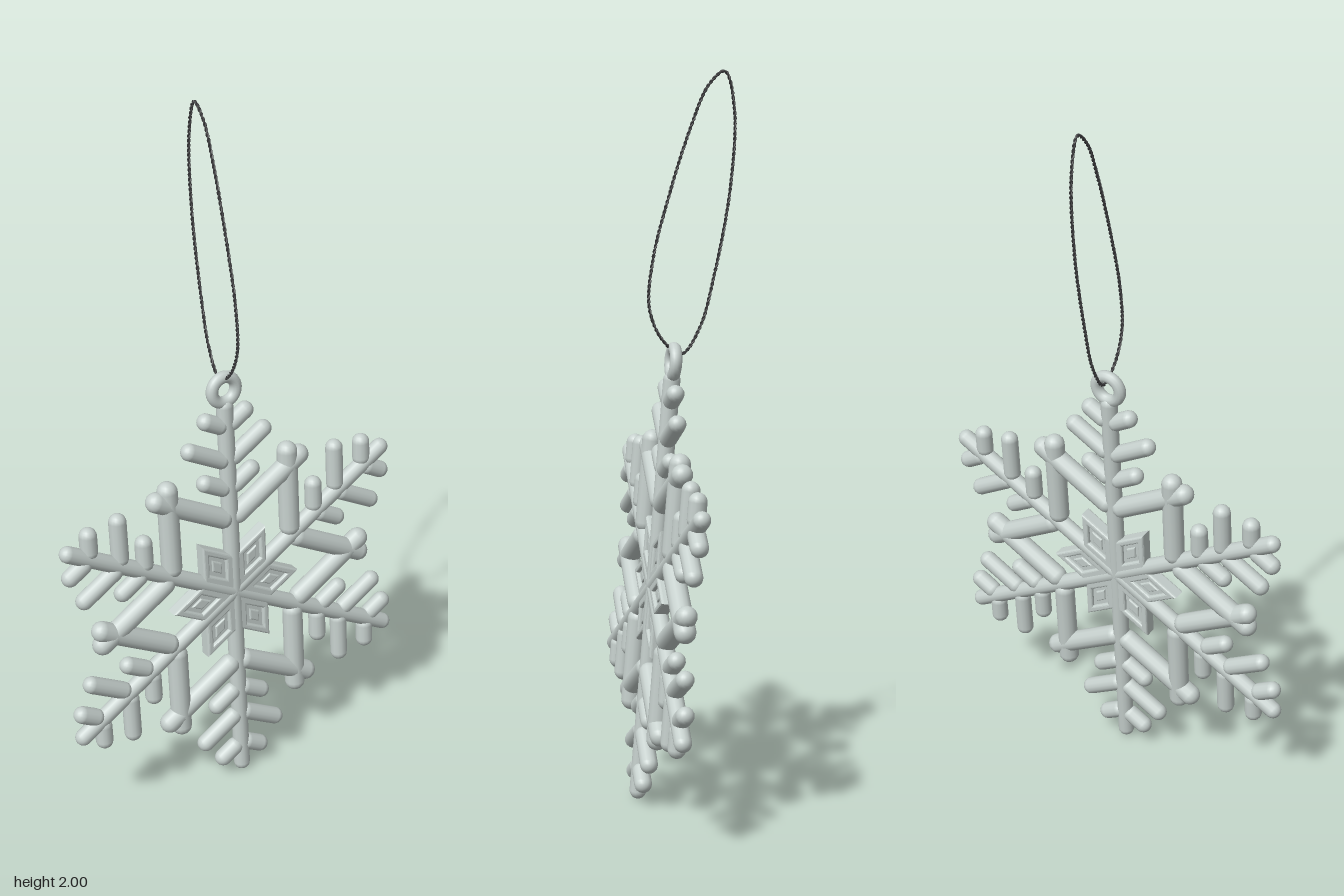
import * as THREE from 'three';

function flat(name, color) {
  const material = new THREE.MeshStandardMaterial({ color });
  material.name = name;
  return material;
}
const silver = flat('paleSilver', 0xc6d0cd);
const dark = flat('darkCord', 0x3c3c3e);

function add(parent, name, geometry, material = silver) {
  const mesh = new THREE.Mesh(geometry, material);
  mesh.name = name;
  parent.add(mesh);
  return mesh;
}

// Round-ended rod between two points of the flake plane (ends include the caps)
function rod(parent, name, x1, y1, x2, y2, r) {
  const length = Math.hypot(x2 - x1, y2 - y1);
  const mesh = add(parent, name, new THREE.CapsuleGeometry(r, length - 2 * r, 6, 14));
  mesh.position.set((x1 + x2) / 2, (y1 + y2) / 2, 0);
  mesh.rotation.z = Math.atan2(x1 - x2, y2 - y1);
}

// Main spoke with three pairs of side twigs at 60 degrees
function makeArm(isTop) {
  const arm = new THREE.Group();
  arm.name = 'arm';
  rod(arm, 'spoke', 0, -0.02, 0, isTop ? 0.595 : 0.604, 0.0235);
  const twigTips = [[0.095, 0.372], [0.138, 0.482], [0.083, 0.555]];
  for (const side of [-1, 1]) {
    for (const [x, y] of twigTips) {
      rod(arm, 'twig', 0, y - x / Math.sqrt(3), side * x, y, 0.0245);
    }
  }
  return arm;
}

// Diamond with its long axis on y, scaled about (0, cy)
function diamond(Type, cy, s) {
  const corners = [[0, 0], [0.059, 0.102], [0, 0.204], [-0.059, 0.102]];
  return new Type(corners.map(([x, y]) => new THREE.Vector2(x * s, cy + (y - 0.102) * s)));
}

function slab(shape, depth, bevel) {
  const geometry = new THREE.ExtrudeGeometry(shape, {
    depth, bevelEnabled: bevel > 0, bevelThickness: bevel, bevelSize: bevel,
    bevelOffset: -bevel, bevelSegments: 3,
  });
  return geometry.translate(0, 0, -depth / 2);
}

// Framed diamond of the central star, and the forked outer point beyond it
function makePoint() {
  const point = new THREE.Group();
  point.name = 'starPoint';
  const frame = diamond(THREE.Shape, 0.102, 1);
  frame.holes.push(diamond(THREE.Path, 0.113, 0.52));
  add(point, 'diamondFrame', slab(frame, 0.026, 0.007));
  add(point, 'diamondPanel', slab(diamond(THREE.Shape, 0.107, 0.8), 0.02, 0));
  add(point, 'diamondRidge', slab(diamond(THREE.Shape, 0.113, 0.3), 0.02, 0.005));

  // Two bars cross at the tip and end in a pair of rounded knobs
  const inner = 0.222, length = 0.293;
  for (const side of [-1, 1]) {
    const x = side * inner / 2, y = inner * Math.cos(Math.PI / 6);
    rod(point, 'latticeBar', x, y, x - side * length / 2, y + length * Math.cos(Math.PI / 6), 0.029);
  }
  return point;
}

// Two strands twisted along a closed loop lying in the yz plane
function makeCord() {
  const cord = new THREE.Group();
  cord.name = 'hangingCord';
  const loop = new THREE.CatmullRomCurve3([
    [-0.114, 1.996], [-0.14, 1.9], [-0.13, 1.69], [-0.085, 1.45], [-0.047, 1.315],
    [0.003, 1.245], [0.055, 1.283], [0.091, 1.37], [0.081, 1.5], [0.04, 1.66],
    [-0.02, 1.845], [-0.07, 1.96],
  ].map(([z, y]) => new THREE.Vector3(0, y, z)), true);
  const steps = 420, turns = 60;
  const across = new THREE.Vector3(1, 0, 0);
  for (const phase of [0, Math.PI]) {
    const points = [];
    for (let i = 0; i < steps; i++) {
      const normal = loop.getTangentAt(i / steps).cross(across);
      const a = (i / steps) * turns * Math.PI * 2 + phase;
      points.push(loop.getPointAt(i / steps)
        .addScaledVector(across, 0.0022 * Math.cos(a))
        .addScaledVector(normal, 0.0022 * Math.sin(a)));
    }
    const strand = new THREE.CatmullRomCurve3(points, true);
    add(cord, 'cordStrand', new THREE.TubeGeometry(strand, 840, 0.0026, 6, true), dark);
  }
  return cord;
}

export function createModel() {
  const model = new THREE.Group();
  model.name = 'snowflakeOrnament';

  // Flake leans back slightly as it hangs
  const flake = new THREE.Group();
  flake.name = 'snowflake';
  flake.position.set(0, 0.605, 0.078);
  flake.rotation.x = -0.084;
  for (let i = 0; i < 6; i++) {
    const arm = makeArm(i === 0);
    arm.rotation.z = i * Math.PI / 3;
    const point = makePoint();
    point.rotation.z = (i + 0.5) * Math.PI / 3;
    flake.add(arm, point);
  }
  const ring = add(flake, 'hangingRing', new THREE.TorusGeometry(0.037, 0.017, 12, 32));
  ring.position.y = 0.621;

  model.add(flake, makeCord());
  return model;
}
